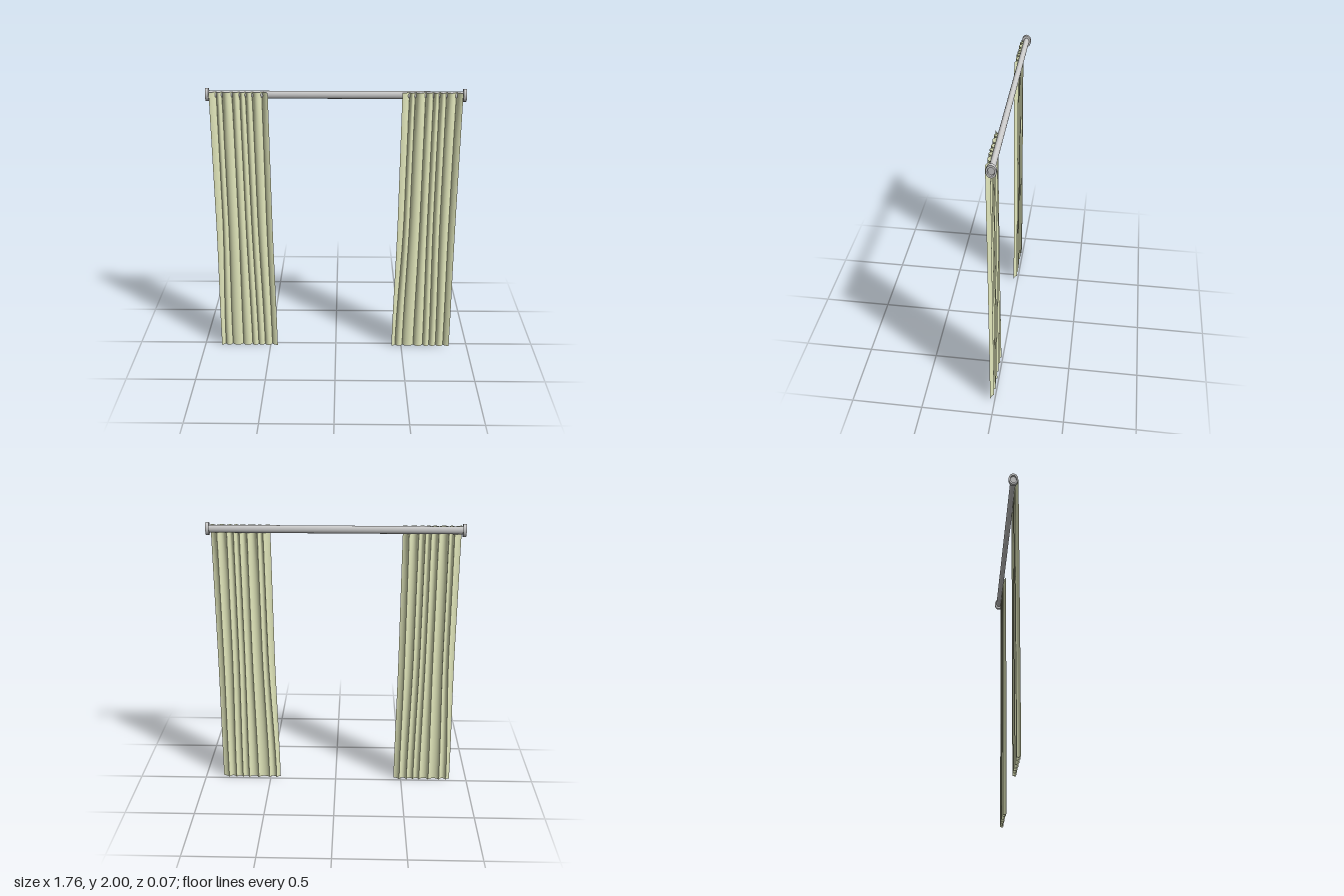
import * as THREE from 'three';

const ROD_Y = 1.957, ROD_Z = -0.003, DEPTH = 0.74; // the rod is slightly oval
// valley positions across a panel (0..1), at the top and at the hem
const TOP = [0.12, 0.215, 0.39, 0.515, 0.615, 0.73, 0.89];
const HEM = [0.065, 0.19, 0.38, 0.545, 0.655, 0.77, 0.9];

// Pleated cloth hanging between left and right edges that flare toward the hem
function makePanel(topEdges, hemEdges) {
  const rows = 40, perPleat = 16, pleats = TOP.length + 1;
  const cols = pleats * perPleat, height = 1.98;
  const geo = new THREE.PlaneGeometry(1, 1, cols, rows);
  const pos = geo.attributes.position;
  const { lerp, smoothstep } = THREE.MathUtils;
  for (let r = 0; r <= rows; r++) {
    const y = height * (1 - r / rows);
    const flare = 0.35 * (1 - y / height) + 0.65 * (1 - smoothstep(y, 0, 1.1));
    const x0 = lerp(topEdges[0], hemEdges[0], flare);
    const x1 = lerp(topEdges[1], hemEdges[1], flare);
    const valleys = TOP.map((v, i) => lerp(v, HEM[i], flare));
    // imaginary valleys outside the edges, so the cloth ends on a crest
    const marks = [-valleys[0], ...valleys, 2 - valleys[valleys.length - 1]];
    const tuck = lerp(0.15, 0.08, smoothstep(y, 1.6, 1.95));
    for (let c = 0; c <= cols; c++) {
      const i = Math.min(Math.floor(c / perPleat), pleats - 1);
      let t = c / perPleat - i;
      if (i === 0) t = 0.5 + t / 2;
      if (i === pleats - 1) t /= 2;
      const a = t * Math.PI * 2;
      const u = lerp(marks[i], marks[i + 1], t - tuck * Math.sin(a));
      const crest = 0.0115 + 0.001 * Math.sin(i * 2.3 + y * 2);
      pos.setXYZ(r * (cols + 1) + c, lerp(x0, x1, u), y, 0.0225 - crest * Math.cos(a));
    }
  }
  geo.computeVertexNormals();
  return geo;
}

export function createModel() {
  const group = new THREE.Group();
  const metal = new THREE.MeshStandardMaterial({ color: 0xcccccc });
  const cloth = new THREE.MeshStandardMaterial({ color: 0xe4e9bd, side: THREE.DoubleSide });
  const add = (name, geo, mat) => {
    const mesh = new THREE.Mesh(geo, mat);
    mesh.name = name;
    group.add(mesh);
    return mesh;
  };

  // Rod
  const rod = new THREE.CylinderGeometry(0.0265, 0.0265, 1.73, 32);
  rod.rotateZ(-Math.PI / 2).scale(1, 1, DEPTH).translate(0, ROD_Y, ROD_Z);
  add('rod', rod, metal);

  // End caps: flanges with a recessed outer face
  const outline = [[0, 0], [0.044, 0], [0.044, 0.022], [0.029, 0.022], [0.027, 0.011], [0, 0.011]];
  // each edge is its own lathe, keeping the corners sharp
  for (const side of [-1, 1]) {
    const cap = new THREE.Group();
    cap.name = side > 0 ? 'leftEndCap' : 'rightEndCap';
    for (let i = 0; i < outline.length - 1; i++) {
      const edge = outline.slice(i, i + 2).map(p => new THREE.Vector2(...p));
      const geo = new THREE.LatheGeometry(edge, 32);
      geo.rotateZ(-side * Math.PI / 2).scale(1, 1, DEPTH);
      const face = new THREE.Mesh(geo, metal);
      face.name = 'capFace';
      cap.add(face);
    }
    cap.position.set(side * 0.859, ROD_Y, ROD_Z);
    group.add(cap);
  }

  // Curtains
  add('rightCurtain', makePanel([-0.855, -0.457], [-0.873, -0.445]), cloth);
  add('leftCurtain', makePanel([0.447, 0.855], [0.426, 0.865]), cloth);
  return group;
}
